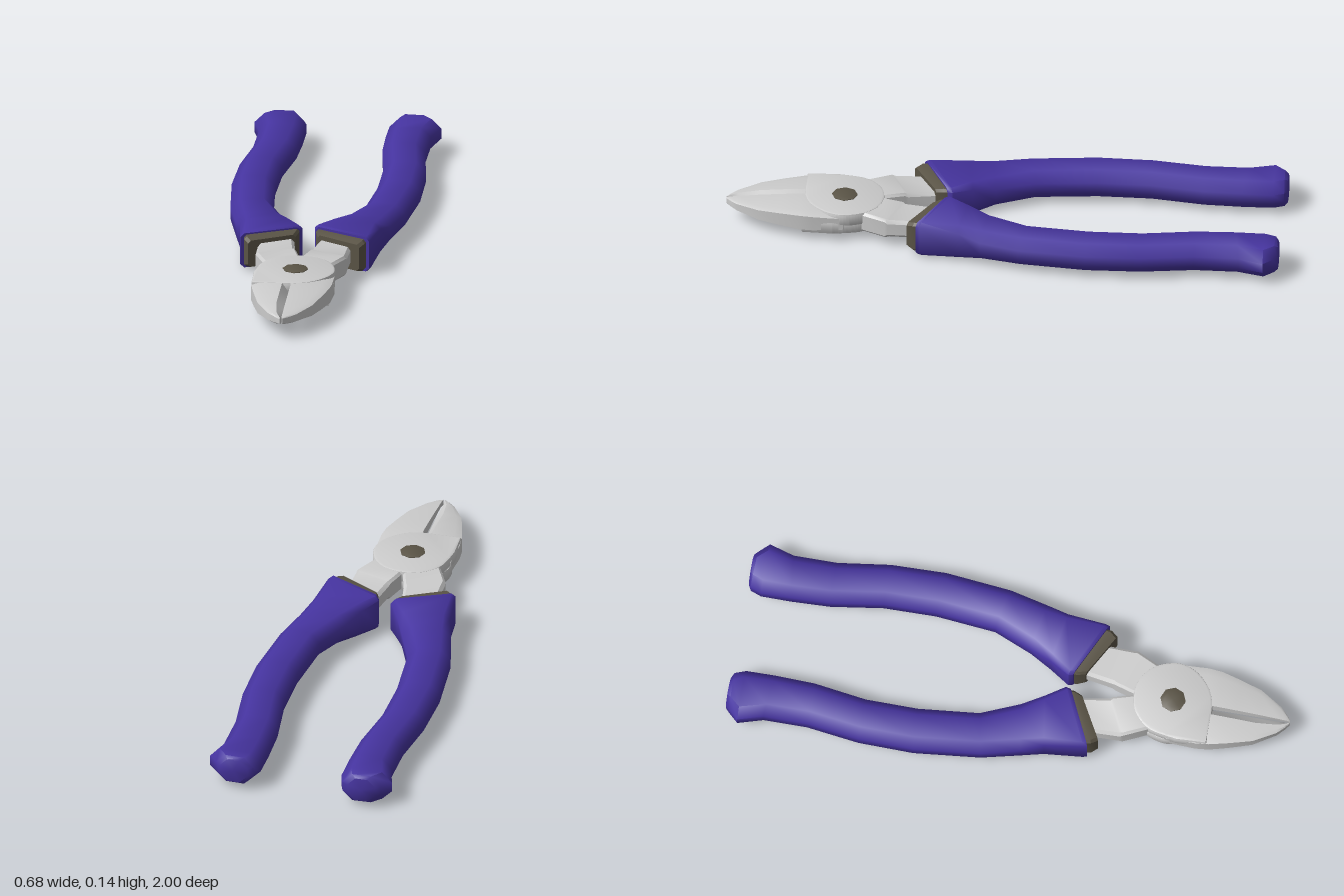
import * as THREE from 'three';
import { toCreasedNormals } from 'three/addons/utils/BufferGeometryUtils.js';

const steel = new THREE.MeshStandardMaterial({ color: 0xcccccc });
const grip = new THREE.MeshStandardMaterial({ color: 0x4634a0 });
const darkMetal = new THREE.MeshStandardMaterial({ color: 0x5a5446 });

// Skin a series of rings (counter-clockwise seen from +z, ordered towards +z) and cap both ends
function loft(rings, crease) {
  const out = [];
  const n = rings[0].length;
  const tri = (...points) => points.forEach((p) => out.push(p.x, p.y, p.z));
  const middle = (ring) => ring.reduce((s, p) => s.add(p), new THREE.Vector3()).divideScalar(n);
  const last = rings[rings.length - 1];
  for (let j = 0; j < n; j++) {
    const k = (j + 1) % n;
    for (let i = 0; i < rings.length - 1; i++) {
      tri(rings[i][j], rings[i][k], rings[i + 1][k]);
      tri(rings[i][j], rings[i + 1][k], rings[i + 1][j]);
    }
    tri(middle(rings[0]), rings[0][k], rings[0][j]);
    tri(middle(last), last[j], last[k]);
  }
  const geometry = new THREE.BufferGeometry();
  geometry.setAttribute('position', new THREE.Float32BufferAttribute(out, 3));
  return toCreasedNormals(geometry, crease);
}

// Chamfered rectangular section standing on the line from an inner to an outer point in plan
function section([innerX, innerZ, outerX, outerZ, halfHeight, chamfer], y = 0) {
  const width = Math.hypot(outerX - innerX, outerZ - innerZ);
  const c = chamfer / width;
  const low = halfHeight - chamfer;
  const corners = [
    [1, -low], [1, low], [1 - c, halfHeight], [c, halfHeight],
    [0, low], [0, -low], [c, -halfHeight], [1 - c, -halfHeight],
  ];
  return corners.map(([t, h]) => new THREE.Vector3(
    innerX + (outerX - innerX) * t, y + h, innerZ + (outerZ - innerZ) * t));
}

// Section of one cutting jaw: bevelled on top towards the cutting edge
function jawSection([z, w, t]) {
  const ridge = Math.min(0.03, w * 0.4);
  return [
    [-0.002, 0], [-ridge, t], [-w * 0.8, t * 0.95], [-w, t * 0.72],
    [-w, -t * 0.72], [-w * 0.8, -t * 0.95], [-0.002, -t],
  ].map(([x, y]) => new THREE.Vector3(x, y, z));
}

function add(parent, name, geometry, material) {
  const mesh = new THREE.Mesh(geometry, material);
  mesh.name = name;
  parent.add(mesh);
  return mesh;
}

// One half: handle on +x, crossing over the pivot to a jaw on -x
function makeHalf(name) {
  const half = new THREE.Group();
  half.name = name;

  // Padded grip: inner x, z, outer x, z, half height, chamfer
  const gripRings = [
    [0.185, -1.0, 0.29, -1.0, 0.045, 0.03],
    [0.165, -0.99, 0.305, -0.985, 0.054, 0.036],
    [0.15, -0.95, 0.338, -0.95, 0.055, 0.037],
    [0.15, -0.84, 0.31, -0.86, 0.055, 0.035],
    [0.155, -0.7, 0.31, -0.7, 0.055, 0.035],
    [0.183, -0.51, 0.336, -0.51, 0.055, 0.035],
    [0.185, -0.32, 0.34, -0.31, 0.055, 0.035],
    [0.163, -0.1, 0.315, -0.07, 0.055, 0.035],
    [0.105, 0.04, 0.28, 0.07, 0.057, 0.033],
    [0.065, 0.12, 0.253, 0.15, 0.0655, 0.022],
    [0.022, 0.19, 0.236, 0.29, 0.0675, 0.014],
    [0.026, 0.207, 0.232, 0.304, 0.065, 0.014],
  ];
  add(half, 'grip', loft(gripRings.map((r) => section(r, 0.0025)), 0.9), grip);

  // Dark collar at the mouth of the grip
  const collarRings = [
    [0.03, 0.195, 0.222, 0.285, 0.058, 0.01],
    [0.03, 0.22, 0.217, 0.315, 0.058, 0.01],
    [0.04, 0.25, 0.2, 0.338, 0.05, 0.01],
  ];
  add(half, 'collar', loft(collarRings.map((r) => section(r, 0.001)), 0.5), darkMetal);

  // Steel shank
  const shankRings = [
    [0.05, 0.22, 0.168, 0.28, 0.034, 0.012],
    [0.028, 0.35, 0.165, 0.41, 0.034, 0.012],
    [0.024, 0.36, 0.163, 0.42, 0.038, 0.009],
    [0.0, 0.44, 0.118, 0.515, 0.038, 0.009],
  ];
  add(half, 'shank', loft(shankRings.map((r) => section(r)), 0.6), steel);

  // Joint plate, rounded around the pivot and running into the jaw
  const shape = new THREE.Shape();
  shape.moveTo(-0.03, 0.72);
  shape.lineTo(-0.141, 0.72);
  shape.lineTo(-0.146, 0.61);
  shape.splineThru([
    [-0.125, 0.51], [-0.07, 0.45], [0, 0.432], [0.07, 0.447], [0.12, 0.495],
    [0.143, 0.57], [0.125, 0.635], [0.075, 0.69], [0.02, 0.715], [-0.03, 0.72],
  ].map(([x, z]) => new THREE.Vector2(x, z)));
  const plate = new THREE.ExtrudeGeometry(shape, {
    depth: 0.033, curveSegments: 28, bevelSize: 0.008, bevelOffset: -0.008,
    bevelThickness: 0.008, bevelSegments: 2,
  });
  plate.rotateX(Math.PI / 2).translate(0, 0.033, 0);
  add(half, 'jointPlate', toCreasedNormals(plate, 0.6), steel);

  // Tapering jaw: z, width, half thickness
  const jawRings = [
    [0.57, 0.142, 0.03], [0.68, 0.145, 0.038], [0.73, 0.14, 0.039],
    [0.8, 0.122, 0.034], [0.88, 0.098, 0.027], [0.96, 0.05, 0.018],
    [0.985, 0.025, 0.015], [1.0, 0.006, 0.011],
  ];
  add(half, 'jaw', loft(jawRings.map(jawSection), 0.5), steel);
  return half;
}

export function createModel() {
  const model = new THREE.Group();
  model.name = 'cuttingPliers';
  const tool = new THREE.Group();
  tool.name = 'tool';
  tool.position.y = 0.07;
  model.add(tool);

  // The second half is the first turned half a revolution about the long axis
  const first = makeHalf('leftHandleHalf');
  const second = makeHalf('rightHandleHalf');
  second.rotation.z = Math.PI;
  tool.add(first, second);

  // Pivot rivet with slightly domed octagonal heads
  const profile = [[0, -0.049], [0.03, -0.048], [0.046, -0.043], [0.046, 0.043], [0.03, 0.048], [0, 0.049]]
    .map(([r, y]) => new THREE.Vector2(r, y));
  const rivet = add(tool, 'rivet', toCreasedNormals(new THREE.LatheGeometry(profile, 8), 0.6), darkMetal);
  rivet.position.z = 0.575;
  return model;
}
